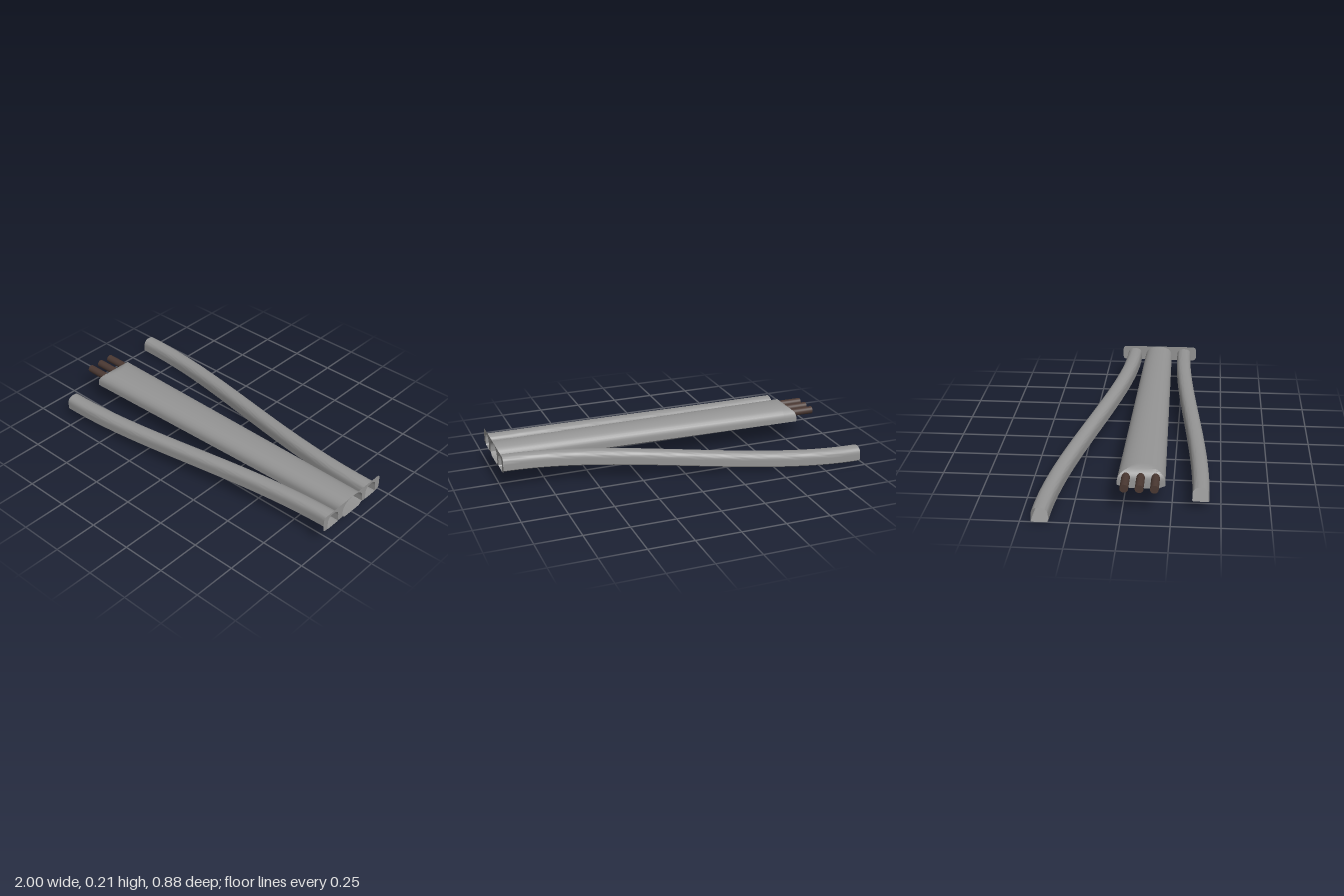
import * as THREE from 'three';
import { toCreasedNormals } from 'three/addons/utils/BufferGeometryUtils.js';

const grey = new THREE.MeshStandardMaterial({ color: 0x949494, side: THREE.DoubleSide });
const brown = new THREE.MeshStandardMaterial({ color: 0x4a3832, side: THREE.DoubleSide });
const black = new THREE.MeshStandardMaterial({ color: 0x060606, side: THREE.DoubleSide });

// Dome points [z, y] running from the +z side over the top to the -z side
function dome(half, shoulder, top, power, steps = 16) {
  const pts = [];
  for (let i = 0; i <= steps; i++) {
    const a = (i / steps) * Math.PI;
    const c = Math.cos(a), s = Math.max(0, Math.sin(a));
    pts.push([Math.sign(c) * half * Math.abs(c) ** (2 / power), shoulder + (top - shoulder) * s ** (2 / power)]);
  }
  return pts;
}

// Closed section: flat floor, chamfered lower corners, domed roof
function section(half, floorHalf, floor, chamfer, shoulder, top, power) {
  return [
    [-floorHalf, floor], [floorHalf, floor], [half, floor + chamfer],
    ...dome(half, shoulder, top, power),
    [-half, floor + chamfer],
  ];
}

// Skin a list of sections { x, pts }, optionally closing the first one
function loft(name, rings, capStart = false) {
  const n = rings[0].pts.length, pos = [], idx = [];
  for (const { x, pts } of rings) for (const [z, y] of pts) pos.push(x, y, z);
  for (let i = 0; i < rings.length - 1; i++) {
    for (let j = 0; j < n; j++) {
      const a = i * n + j, c = i * n + (j + 1) % n;
      idx.push(a, a + n, c, a + n, c + n, c);
    }
  }
  if (capStart) for (let j = 1; j < n - 1; j++) idx.push(0, j, j + 1);
  const geo = new THREE.BufferGeometry();
  geo.setAttribute('position', new THREE.Float32BufferAttribute(pos, 3));
  geo.setIndex(idx);
  const mesh = new THREE.Mesh(toCreasedNormals(geo, 0.5), grey);
  mesh.name = name;
  return mesh;
}

const TUBE_HALF = 0.0435, TUBE_FLOOR = 0.112, PLATE_FLOOR = 0.115, TOP = 0.206, DUCT_Z = 0.0925;

// Open side tube following a gentle S-curve out and down from the plate
function sideTube(name, xEnd, zEnd, yEnd, zStart) {
  const rings = [], steps = 40;
  for (let i = 0; i <= steps; i++) {
    const t = i / steps, s = t * t * (3 - 2 * t);
    const z = THREE.MathUtils.lerp(zEnd, zStart, s);
    const y = THREE.MathUtils.lerp(yEnd, TUBE_FLOOR, s);
    const pts = section(TUBE_HALF, 0.039, 0, 0.005, 0.038, 0.08, 2.4);
    rings.push({ x: THREE.MathUtils.lerp(xEnd, 1, t), pts: pts.map(([u, v]) => [u + z, v + y]) });
  }
  return loft(name, rings);
}

// Tapering central duct whose far end is rounded off at the top
function centreDuct() {
  const xs = [1];
  for (let i = 0; i <= 8; i++) xs.push(-0.72 - 0.08 * Math.sin((i / 8) * Math.PI / 2));
  const rings = xs.reverse().map((x) => {
    const half = THREE.MathUtils.mapLinear(x, -0.8, 1, 0.123, 0.084);
    const d = Math.min(1, Math.max(0, (-0.72 - x) / 0.08));
    const limit = 0.148 + (TOP - 0.148) * Math.sqrt(1 - d * d);
    const pts = section(half, half * 0.7, 0.103, 0.016, 0.143, TOP, 2.2);
    return { x, pts: pts.map(([z, y]) => [z + DUCT_Z, Math.min(y, limit)]) };
  });
  return loft('centralDuct', rings, true);
}

// Thin end plate with an arched cut-out for each duct
function endPlate() {
  const shape = new THREE.Shape();
  const z0 = -0.14, z1 = 0.335, r = 0.025;
  shape.moveTo(-z0 - r, PLATE_FLOOR);
  const arches = [
    [-0.063, dome(TUBE_HALF, 0.15, 0.192, 2.4), TUBE_HALF],
    [DUCT_Z, dome(0.084, 0.143, TOP - 0.0005, 2.2), 0.084],
    [0.257, dome(TUBE_HALF, 0.15, 0.192, 2.4), TUBE_HALF],
  ];
  for (const [z, arch, half] of arches) {
    shape.lineTo(-(z - half), PLATE_FLOOR);
    for (const [u, v] of arch.reverse()) shape.lineTo(-(z + u), v);
    shape.lineTo(-(z + half), PLATE_FLOOR);
  }
  shape.lineTo(-z1 + r, PLATE_FLOOR);
  shape.quadraticCurveTo(-z1, PLATE_FLOOR, -z1, PLATE_FLOOR + r);
  shape.lineTo(-z1, TOP - r);
  shape.quadraticCurveTo(-z1, TOP, -z1 + r, TOP);
  shape.lineTo(-z0 - r, TOP);
  shape.quadraticCurveTo(-z0, TOP, -z0, TOP - r);
  shape.lineTo(-z0, PLATE_FLOOR + r);
  shape.quadraticCurveTo(-z0, PLATE_FLOOR, -z0 - r, PLATE_FLOOR);
  const mesh = new THREE.Mesh(new THREE.ShapeGeometry(shape, 8), grey);
  mesh.name = 'endPlate';
  mesh.rotation.y = Math.PI / 2;
  mesh.position.x = 1;
  return mesh;
}

// Small pipe leaving the closed end of the central duct
function smallPipe(z) {
  const pipe = new THREE.Group();
  pipe.name = 'smallPipe';
  const r = 0.022, x0 = -0.92, x1 = -0.765;
  const wall = new THREE.Mesh(new THREE.CylinderGeometry(r, r, x1 - x0, 24, 1, true), brown);
  wall.rotation.z = Math.PI / 2;
  wall.position.x = (x0 + x1) / 2;
  const cap = new THREE.Mesh(new THREE.CircleGeometry(r, 24), brown);
  cap.rotation.y = -Math.PI / 2;
  cap.position.x = x0;
  const rim = new THREE.Mesh(new THREE.RingGeometry(r * 0.88, r, 24), brown);
  const bore = new THREE.Mesh(new THREE.CircleGeometry(r * 0.88, 24), black);
  for (const m of [rim, bore]) {
    m.rotation.y = Math.PI / 2;
    m.position.x = x1;
  }
  wall.name = 'pipeWall';
  cap.name = 'pipeCap';
  rim.name = 'pipeRim';
  bore.name = 'pipeBore';
  pipe.add(wall, cap, rim, bore);
  pipe.position.set(0, 0.16, z);
  return pipe;
}

export function createModel() {
  const model = new THREE.Group();
  model.name = 'ductAssembly';
  model.add(
    centreDuct(),
    sideTube('frontTube', -0.825, 0.397, 0.05, 0.257),
    sideTube('backTube', -1, -0.4, 0, -0.063),
    endPlate(),
  );
  for (const dz of [-0.076, 0, 0.076]) model.add(smallPipe(DUCT_Z - 0.002 + dz));
  return model;
}
